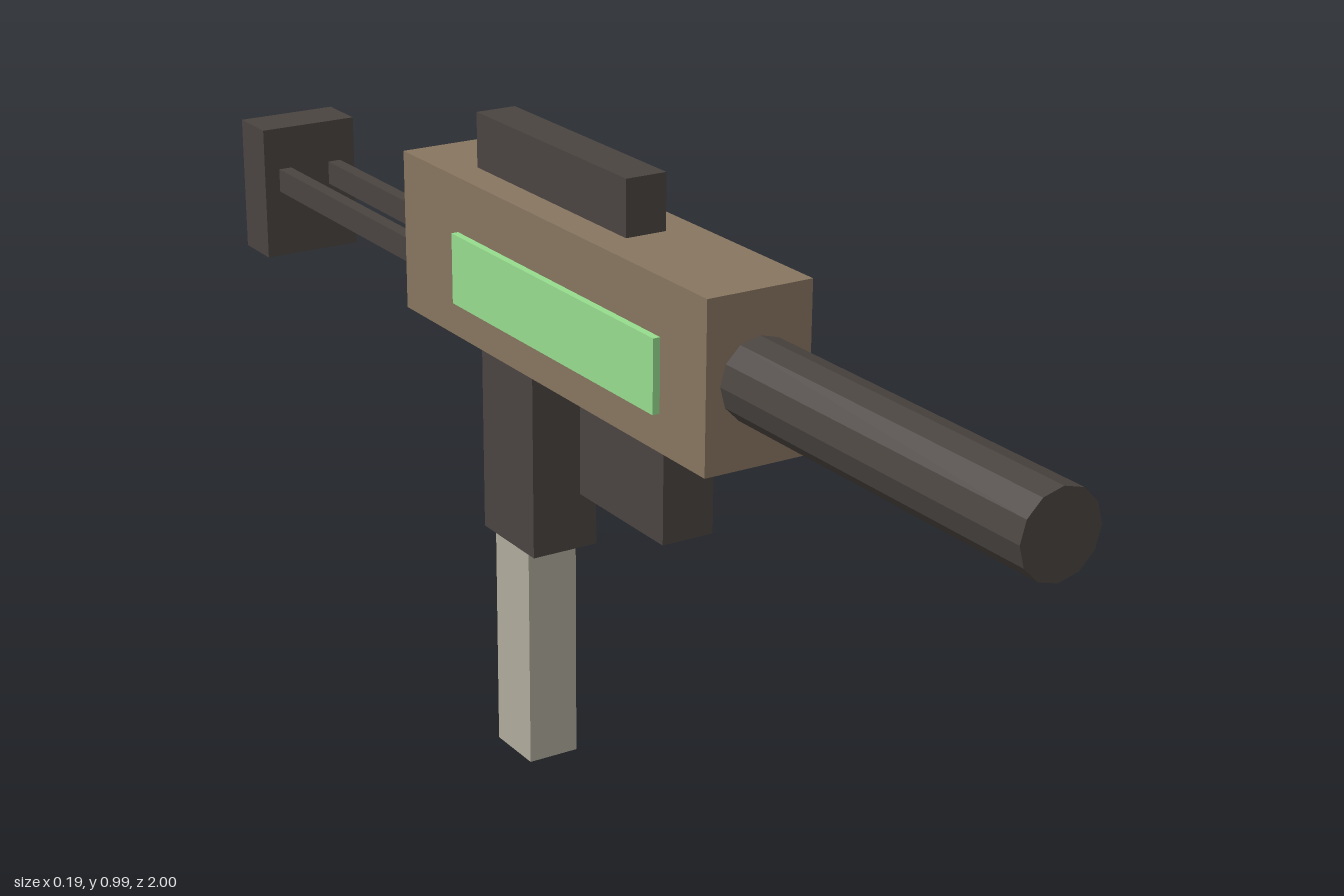
import * as THREE from 'three';

const material = (color) => new THREE.MeshStandardMaterial({ color, flatShading: true });

export function createModel() {
  const model = new THREE.Group();
  const dark = material(0x4a4440);
  const brown = material(0x877560);
  const green = material(0x96dc8e);
  const pale = material(0xb0aa9c);

  // Box given by its limits along each axis
  function addBox(name, mat, [x0, x1], [y0, y1], [z0, z1]) {
    const mesh = new THREE.Mesh(new THREE.BoxGeometry(x1 - x0, y1 - y0, z1 - z0), mat);
    mesh.position.set((x0 + x1) / 2, (y0 + y1) / 2, (z0 + z1) / 2);
    mesh.name = name;
    model.add(mesh);
  }

  // Receiver and the parts mounted on it
  addBox('receiver', brown, [-0.082, 0.082], [0.66, 0.905], [-0.423, 0.397]);
  addBox('topRail', dark, [-0.032, 0.032], [0.905, 0.988], [-0.287, 0.123]);
  addBox('foregrip', dark, [-0.041, 0.041], [0.497, 0.66], [0.016, 0.235]);
  addBox('grip', dark, [-0.054, 0.054], [0.358, 0.66], [-0.242, -0.095]);
  addBox('magazine', pale, [-0.041, 0.041], [0, 0.358], [-0.231, -0.133]);

  // Side panels and stock rods, mirrored
  for (const [side, s] of [['left', 1], ['right', -1]]) {
    const span = (a, b) => (s > 0 ? [a, b] : [-b, -a]);
    addBox(side + 'Panel', green, span(0.082, 0.093), [0.715, 0.822], [-0.258, 0.288]);
    addBox(side + 'StockRod', dark, span(0.034, 0.056), [0.715, 0.753], [-0.918, -0.423]);
  }
  addBox('buttPlate', dark, [-0.082, 0.082], [0.605, 0.822], [-1, -0.918]);

  // Twelve-sided barrel
  const barrel = new THREE.Mesh(new THREE.CylinderGeometry(0.06, 0.06, 0.603, 12), dark);
  barrel.rotation.x = Math.PI / 2;
  barrel.position.set(0, 0.782, 0.6985);
  barrel.name = 'barrel';
  model.add(barrel);

  return model;
}
